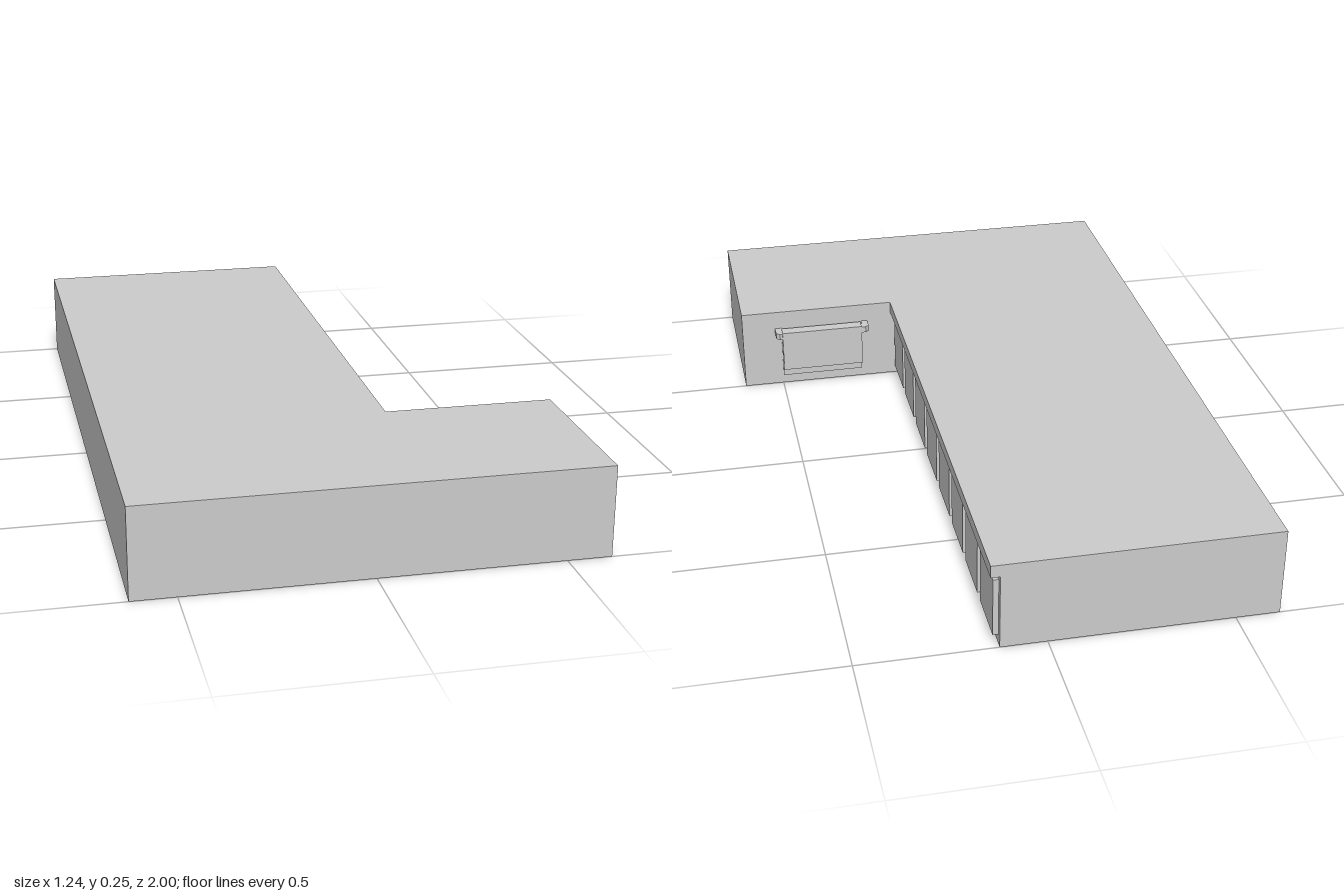
import * as THREE from 'three';

const grey = new THREE.MeshStandardMaterial({ color: 0xcccccc, flatShading: true });

function addMesh(parent, geometry, name) {
  const mesh = new THREE.Mesh(geometry, grey);
  mesh.name = name;
  parent.add(mesh);
  return mesh;
}

// Extrudes an outline given as [x, z] pairs upward from y0 to y1.
function slab(points, y0, y1) {
  const shape = new THREE.Shape(points.map(([x, z]) => new THREE.Vector2(x, -z)));
  return new THREE.ExtrudeGeometry(shape, { depth: y1 - y0, bevelEnabled: false })
    .rotateX(-Math.PI / 2)
    .translate(0, y0, 0);
}

// L-shaped plan; inner is the x of the long leg's cupboard side.
const plan = (inner) => [
  [-0.62, 1], [0.62, 1], [0.62, 0.5], [inner, 0.5], [inner, -1], [-0.62, -1],
];

export function createModel() {
  const group = new THREE.Group();
  group.name = 'cornerCounter';
  const wallX = 0.125;

  // Cabinet body and overhanging worktop
  addMesh(group, slab(plan(wallX), 0, 0.215), 'cabinetBody');
  addMesh(group, slab(plan(0.15), 0.215, 0.25), 'worktop');

  // Row of cupboard doors along the long leg
  const doors = new THREE.Group();
  doors.name = 'cupboardDoors';
  group.add(doors);
  for (let i = 0; i < 8; i++) {
    const door = addMesh(doors, new THREE.BoxGeometry(0.015, 0.168, 0.152), 'door');
    door.position.set(wallX + 0.0075, 0.112, 0.409 - i * 0.188);
  }

  // Towel rail with chamfered corners on the short leg
  addMesh(group, slab([
    [0.225, 0.5], [0.245, 0.5], [0.245, 0.482], [0.497, 0.482], [0.497, 0.5],
    [0.518, 0.5], [0.518, 0.465], [0.507, 0.456], [0.236, 0.456], [0.225, 0.465],
  ], 0.175, 0.194), 'towelRail');

  // Towel folded over the rail, the rear flap hanging lower
  const fold = new THREE.Shape([
    [0.452, 0.07], [0.456, 0.07], [0.456, 0.194], [0.483, 0.194], [0.483, 0.035],
    [0.487, 0.035], [0.487, 0.198], [0.452, 0.198],
  ].map(([z, y]) => new THREE.Vector2(-z, y)));
  const towel = new THREE.ExtrudeGeometry(fold, { depth: 0.25, bevelEnabled: false })
    .rotateY(Math.PI / 2)
    .translate(0.249, 0, 0);
  addMesh(group, towel, 'towel');

  return group;
}
